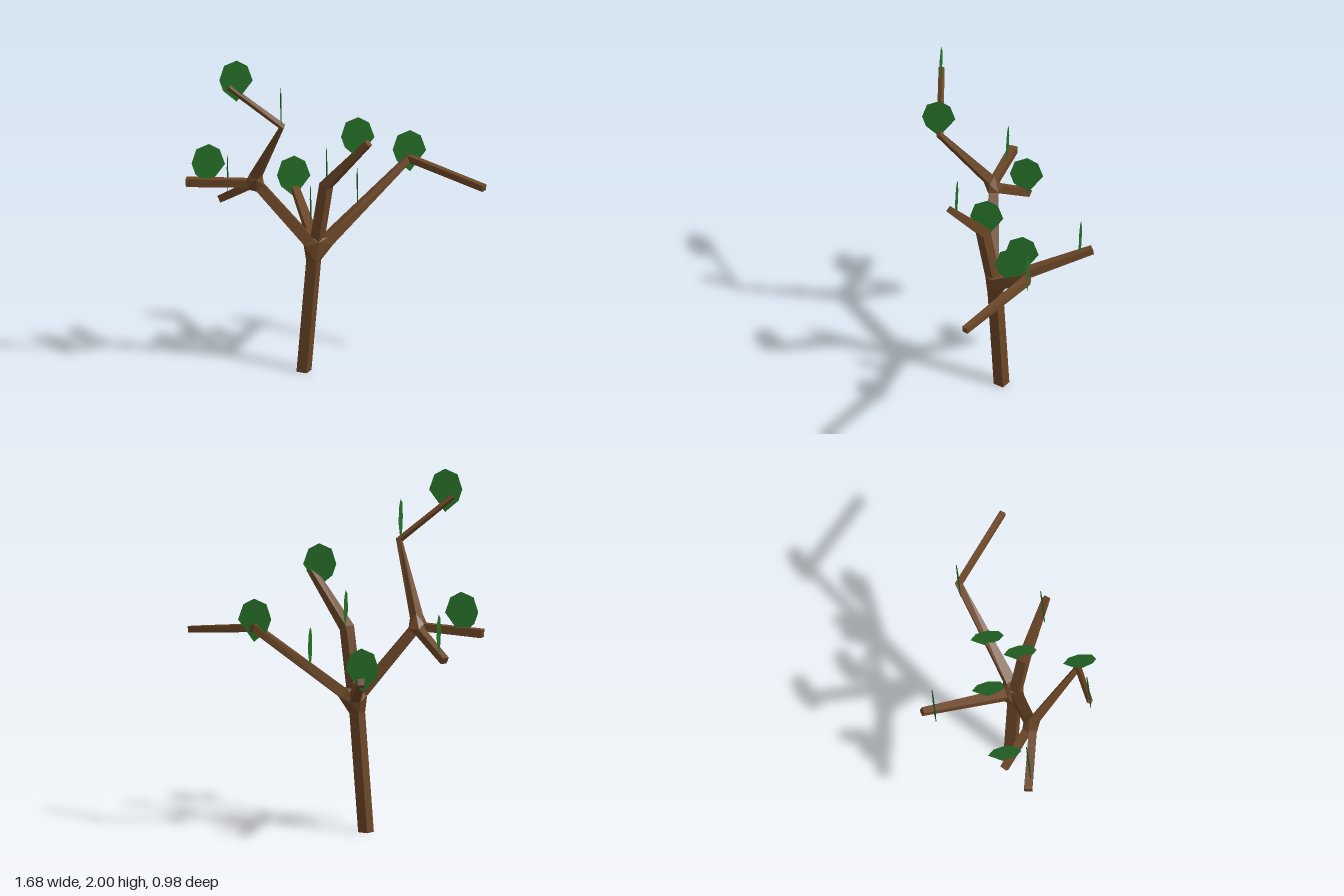
import * as THREE from 'three';
import { ConvexGeometry } from 'three/addons/geometries/ConvexGeometry.js';

const V = (x, y, z) => new THREE.Vector3(x, y, z);
const UP = V(0, 1, 0), FRONT = V(0, 0, 1);

// Four corners of a square section at p, across direction t
function ring(p, t, r, ref, roll) {
  const u = ref.clone().cross(t).normalize();
  const v = t.clone().cross(u).normalize();
  return [0, 1, 2, 3].map(k => {
    const a = roll + k * Math.PI / 2;
    const c = p.clone().addScaledVector(u, r * Math.cos(a)).addScaledVector(v, r * Math.sin(a));
    c.y = Math.max(0, c.y);
    return c;
  });
}

// Square sections along a bent limb; stops are [x, y, z, half diagonal]
function limbRings(stops, ref, roll) {
  const pts = stops.map(s => V(s[0], s[1], s[2]));
  const dirs = pts.slice(1).map((p, i) => p.clone().sub(pts[i]).normalize());
  return pts.map((p, i) => {
    const t = V(0, 0, 0);
    if (i > 0) t.add(dirs[i - 1]);
    if (i < dirs.length) t.add(dirs[i]);
    return ring(p, t.normalize(), stops[i][3], ref, roll);
  });
}

// Skin over the sections, with both ends capped
function skin(rings) {
  const pos = [];
  const quad = (a, b, c, d) => [a, b, c, a, c, d].forEach(p => pos.push(p.x, p.y, p.z));
  for (let i = 0; i + 1 < rings.length; i++) {
    const a = rings[i], b = rings[i + 1];
    for (let k = 0; k < 4; k++) {
      const n = (k + 1) % 4;
      quad(a[k], a[n], b[n], b[k]);
    }
  }
  const s = rings[0], e = rings[rings.length - 1];
  quad(s[3], s[2], s[1], s[0]);
  quad(e[0], e[1], e[2], e[3]);
  const g = new THREE.BufferGeometry();
  g.setAttribute('position', new THREE.Float32BufferAttribute(pos, 3));
  g.computeVertexNormals();
  return g;
}

export function createModel() {
  const model = new THREE.Group();
  model.name = 'tree';
  const bark = new THREE.MeshStandardMaterial({ name: 'bark brown', color: 0x6b4626, flatShading: true });
  const green = new THREE.MeshStandardMaterial({ name: 'leaf green', color: 0x267028, side: THREE.DoubleSide });

  const add = (name, geometry, material) => {
    const mesh = new THREE.Mesh(geometry, material);
    mesh.name = name;
    model.add(mesh);
    return mesh;
  };
  const limb = (name, stops, ref = UP, roll = Math.PI / 4) => {
    const rings = limbRings(stops, ref, roll);
    add(name, skin(rings), bark);
    return { start: rings[0], end: rings[rings.length - 1] };
  };

  // Trunk and the four limbs of the main fork
  const trunk = limb('trunk', [[-0.178, -0.005, 0.028, 0.0445], [-0.125, 0.67, 0.057, 0.0445]], FRONT, 0.286);
  const rightLimb = limb('rightLimb', [[-0.155, 0.79, 0.07, 0.045], [-0.43, 1.13, 0.1, 0.04]]);
  const middleLimb = limb('middleLimb',
    [[-0.105, 0.8, 0.07, 0.042], [-0.058, 1.14, 0.12, 0.042], [0.17, 1.445, 0.28, 0.025]], FRONT, 0.15);
  const leftLimb = limb('leftLimb',
    [[-0.045, 0.785, 0.04, 0.042], [0.42, 1.18, -0.177, 0.032], [0.825, 1.108, 0.13, 0.025]]);
  const backLimb = limb('backLimb', [[-0.12, 0.765, 0.0, 0.04], [-0.216, 0.94, -0.478, 0.027]]);
  add('mainFork', new ConvexGeometry([...trunk.end, ...rightLimb.start, ...middleLimb.start,
    ...leftLimb.start, ...backLimb.start]), bark);

  // Branches of the upper fork
  const sideBranch = limb('sideBranch', [[-0.5, 1.155, 0.105, 0.031], [-0.835, 1.14, 0.03, 0.033]]);
  const lowBranch = limb('lowBranch', [[-0.48, 1.13, 0.075, 0.032], [-0.635, 0.998, -0.075, 0.029]]);
  const tallBranch = limb('tallBranch',
    [[-0.45, 1.21, 0.125, 0.038], [-0.318, 1.595, 0.388, 0.021], [-0.618, 1.843, 0.41, 0.017]], FRONT, 0.2);
  add('upperFork', new ConvexGeometry([...rightLimb.end, ...sideBranch.start,
    ...lowBranch.start, ...tallBranch.start]), bark);

  // Flat seven-sided leaves, standing upright on their base point
  const outline = [[0, 0], [0.09, 0.125], [0.06, 0.212], [0, 0.245], [-0.07, 0.215], [-0.097, 0.13], [-0.075, 0.065]];
  const leafGeometry = new THREE.ShapeGeometry(new THREE.Shape(outline.map(p => new THREE.Vector2(...p))));
  const leaf = (name, turn) => ([x, y, z]) => {
    const mesh = add(name, leafGeometry, green);
    mesh.position.set(x, y, z);
    mesh.rotation.y = turn;
  };
  [[-0.573, 1.755, 0.41], [-0.71, 1.125, 0.05], [-0.21, 0.873, -0.41], [0.115, 1.345, 0.25],
    [0.425, 1.1, -0.18]].forEach(leaf('frontLeaf', 0));
  [[-0.325, 1.582, 0.392], [-0.6, 1.015, -0.072], [-0.055, 1.112, 0.095], [0.125, 0.925, -0.065],
    [-0.135, 0.815, -0.095]].forEach(leaf('sideLeaf', Math.PI / 2));

  return model;
}
